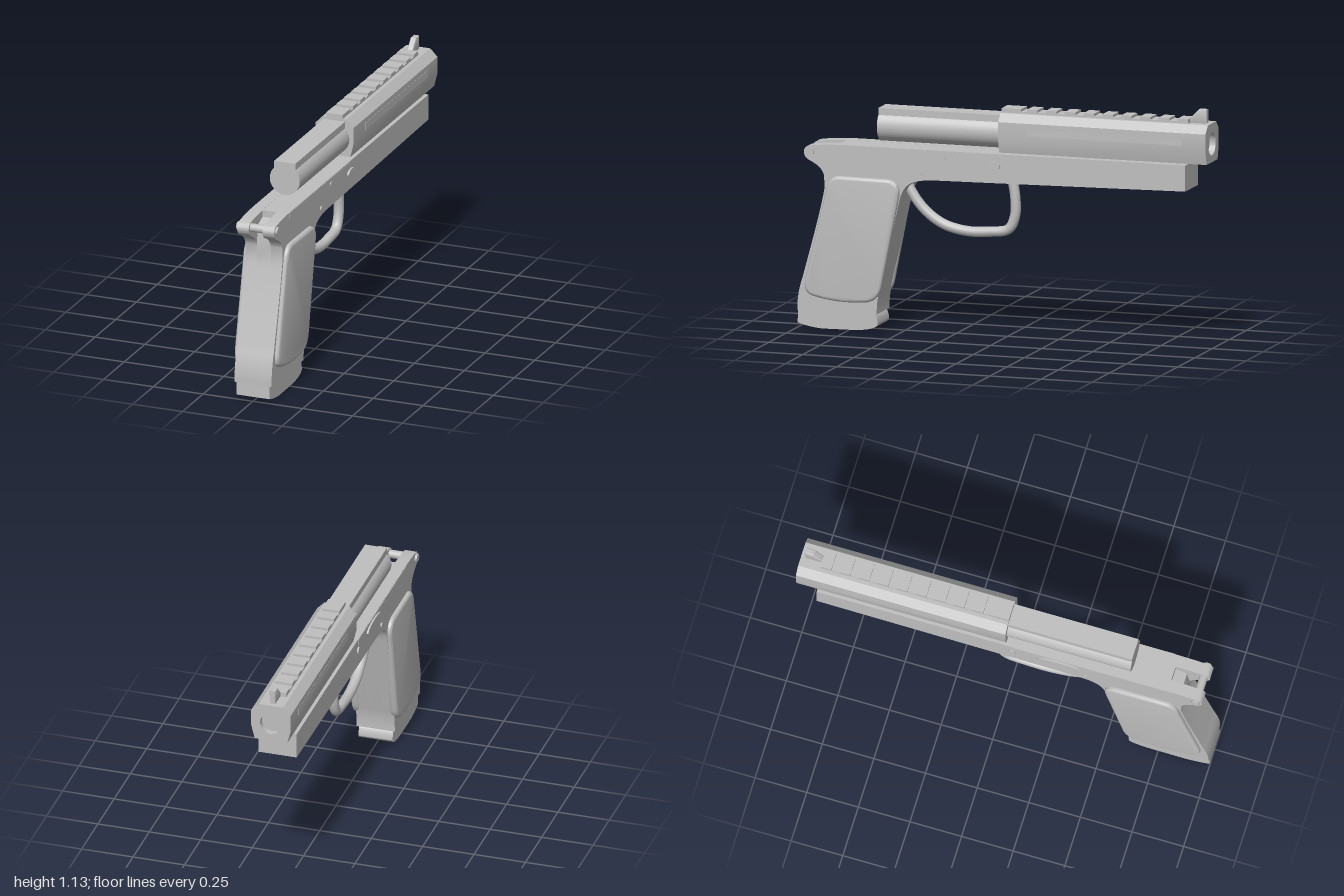
import * as THREE from 'three';
import { toCreasedNormals } from 'three/addons/utils/BufferGeometryUtils.js';

export function createModel() {
  const model = new THREE.Group();
  const steel = new THREE.MeshStandardMaterial({ color: 0xbfbfbf });
  steel.name = 'grey steel';

  const add = (name, geometry, x = 0, y = 0, z = 0) => {
    const mesh = new THREE.Mesh(geometry, steel);
    mesh.name = name;
    mesh.position.set(x, y, z);
    model.add(mesh);
    return mesh;
  };

  // Side profile given in (z, y), extruded across x from x0 to x1
  const side = (name, shape, x0, x1, bevel = 0) => {
    const width = x1 - x0;
    const g = new THREE.ExtrudeGeometry(shape, {
      depth: width - 2 * bevel, bevelEnabled: bevel > 0, bevelSize: bevel,
      bevelThickness: bevel, bevelOffset: -bevel, bevelSegments: 4, curveSegments: 10,
    });
    g.translate(0, 0, -(width - 2 * bevel) / 2);
    g.rotateY(-Math.PI / 2);
    return add(name, toCreasedNormals(g, 0.6), (x0 + x1) / 2);
  };

  // Cross-section in (x, y), extruded along z from z0 to z1
  const along = (name, shape, z0, z1) => {
    const g = new THREE.ExtrudeGeometry(shape, {
      depth: z1 - z0, bevelEnabled: false, curveSegments: 32,
    });
    return add(name, toCreasedNormals(g, 0.5), 0, 0, z0);
  };

  const polygon = pts => new THREE.Shape(pts.map(p => new THREE.Vector2(p[0], p[1])));
  const box = (name, w, h, d, x, y, z) => add(name, new THREE.BoxGeometry(w, h, d), x, y, z);
  const pin = (name, r, length, x, y, z) =>
    add(name, new THREE.CylinderGeometry(r, r, length, 20).rotateZ(Math.PI / 2), x, y, z);

  // Frame outline; the centre layer has a hammer notch and a trigger slot
  const frameShape = centre => {
    const s = new THREE.Shape();
    s.moveTo(-0.9, 0.873);
    if (centre) {
      s.lineTo(0.8, 0.872);
      s.lineTo(0.8, 0.84);
      s.lineTo(0.855, 0.82);
      s.lineTo(0.868, 0.725);
    } else {
      s.lineTo(0.76, 0.873);
      s.quadraticCurveTo(0.9, 0.87, 0.95, 0.858);
      s.bezierCurveTo(0.975, 0.845, 0.97, 0.81, 0.945, 0.795);
      s.bezierCurveTo(0.9, 0.775, 0.875, 0.755, 0.868, 0.725);
    }
    s.lineTo(0.864, 0.67);
    s.bezierCurveTo(0.885, 0.55, 0.94, 0.36, 0.972, 0.24);
    s.quadraticCurveTo(1.0, 0.16, 0.998, 0.083);
    s.lineTo(0.61, 0.083);
    s.quadraticCurveTo(0.61, 0.15, 0.595, 0.2);
    s.lineTo(0.5, 0.62);
    s.bezierCurveTo(0.48, 0.71, 0.44, 0.725, 0.34, 0.731);
    if (centre) [[0.21, 0.732], [0.21, 0.82], [0.07, 0.82], [0.07, 0.735]].forEach(p => s.lineTo(...p));
    s.lineTo(0, 0.736);
    s.lineTo(-0.9, 0.75);
    s.closePath();
    return s;
  };
  side('frameCentre', frameShape(true), -0.035, 0.035);
  for (const s of [-1, 1]) {
    side('frameSide', frameShape(false), s < 0 ? -0.093 : 0.035, s < 0 ? -0.035 : 0.093);
    box('frameRail', 0.01, 0.034, 0.73, s * 0.09, 0.854, 0.415);
  }

  // Grip panels with rounded edges
  const panel = new THREE.Shape();
  panel.moveTo(0.79, 0.726);
  panel.lineTo(0.56, 0.724);
  panel.quadraticCurveTo(0.485, 0.72, 0.5, 0.64);
  panel.lineTo(0.585, 0.21);
  panel.quadraticCurveTo(0.6, 0.147, 0.66, 0.138);
  panel.quadraticCurveTo(0.8, 0.124, 0.92, 0.155);
  panel.quadraticCurveTo(0.97, 0.172, 0.957, 0.23);
  panel.lineTo(0.857, 0.65);
  panel.quadraticCurveTo(0.845, 0.726, 0.79, 0.726);
  side('gripPanel', panel, 0.075, 0.113, 0.016);
  side('gripPanel', panel, -0.113, -0.075, 0.016);

  // Magazine base
  const base = new THREE.Shape();
  base.moveTo(0.998, 0.084);
  base.lineTo(1.0, 0.022);
  base.quadraticCurveTo(0.94, 0.003, 0.88, 0);
  base.lineTo(0.72, 0.002);
  base.quadraticCurveTo(0.615, 0.008, 0.608, 0.035);
  base.quadraticCurveTo(0.61, 0.07, 0.625, 0.084);
  side('magazineBase', base, -0.083, 0.083);

  // Trigger guard
  const guard = new THREE.CatmullRomCurve3([
    [-0.022, 0.75], [-0.037, 0.66], [-0.036, 0.57], [-0.005, 0.506], [0.09, 0.488], [0.2, 0.485],
    [0.31, 0.51], [0.39, 0.56], [0.44, 0.612], [0.485, 0.68],
  ].map(([z, y]) => new THREE.Vector3(0, y, z)));
  add('triggerGuard', new THREE.TubeGeometry(guard, 48, 0.024, 14));

  // Slide with an open muzzle
  const slide = polygon([
    [-0.08, 0.879], [0.08, 0.879], [0.096, 0.945], [0.096, 1.025],
    [0.06, 1.062], [-0.06, 1.062], [-0.096, 1.025], [-0.096, 0.945],
  ]);
  const bore = new THREE.Path();
  bore.absarc(0, 0.965, 0.053, 0, Math.PI * 2, true);
  slide.holes.push(bore);
  along('slide', slide, -1, 0.015);
  const barrel = new THREE.Shape();
  barrel.absarc(0, 0.965, 0.054, 0, Math.PI * 2, false);
  along('barrel', barrel, -0.97, 0);
  for (const s of [-1, 1]) box('slideSidePlate', 0.004, 0.035, 0.76, s * 0.095, 0.983, -0.505);

  // Top rib with cross teeth
  box('topRib', 0.084, 0.012, 0.915, 0, 1.064, -0.4425);
  box('rearRibTooth', 0.084, 0.022, 0.095, 0, 1.071, -0.0325);
  for (let i = 0; i < 9; i++) box('ribTooth', 0.084, 0.022, 0.052, 0, 1.071, -0.135 - i * 0.092);

  // Front sight
  side('frontSight', polygon([
    [-0.895, 1.06], [-0.895, 1.08], [-0.94, 1.127], [-0.978, 1.127], [-0.978, 1.06],
  ]), -0.014, 0.014, 0.004);

  // Round breech block with a flat top ridge
  const breech = new THREE.Shape();
  const a = Math.PI / 4;
  breech.moveTo(0.053, 1.05);
  breech.lineTo(-0.053, 1.05);
  breech.absarc(0, 0.964, 0.075, Math.PI - a, Math.PI * 2 + a, false);
  breech.closePath();
  along('breechBlock', breech, 0, 0.615);

  // Cross pins and side levers
  pin('hammerPin', 0.02, 0.206, 0, 0.834, 0.935);
  pin('framePin', 0.013, 0.198, 0, 0.84, 0.285);
  pin('framePin', 0.013, 0.198, 0, 0.76, 0.4);
  pin('slideStopPin', 0.018, 0.2, 0, 0.815, 0.045);
  const oval = (z, y, rz, ry) => {
    const s = new THREE.Shape();
    s.absellipse(z, y, rz, ry, 0, Math.PI * 2, false);
    return s;
  };
  side('slideStop', oval(0.045, 0.817, 0.04, 0.021), 0.085, 0.103);
  side('sideLever', oval(0.275, 0.838, 0.105, 0.026), -0.104, -0.085);
  return model;
}
